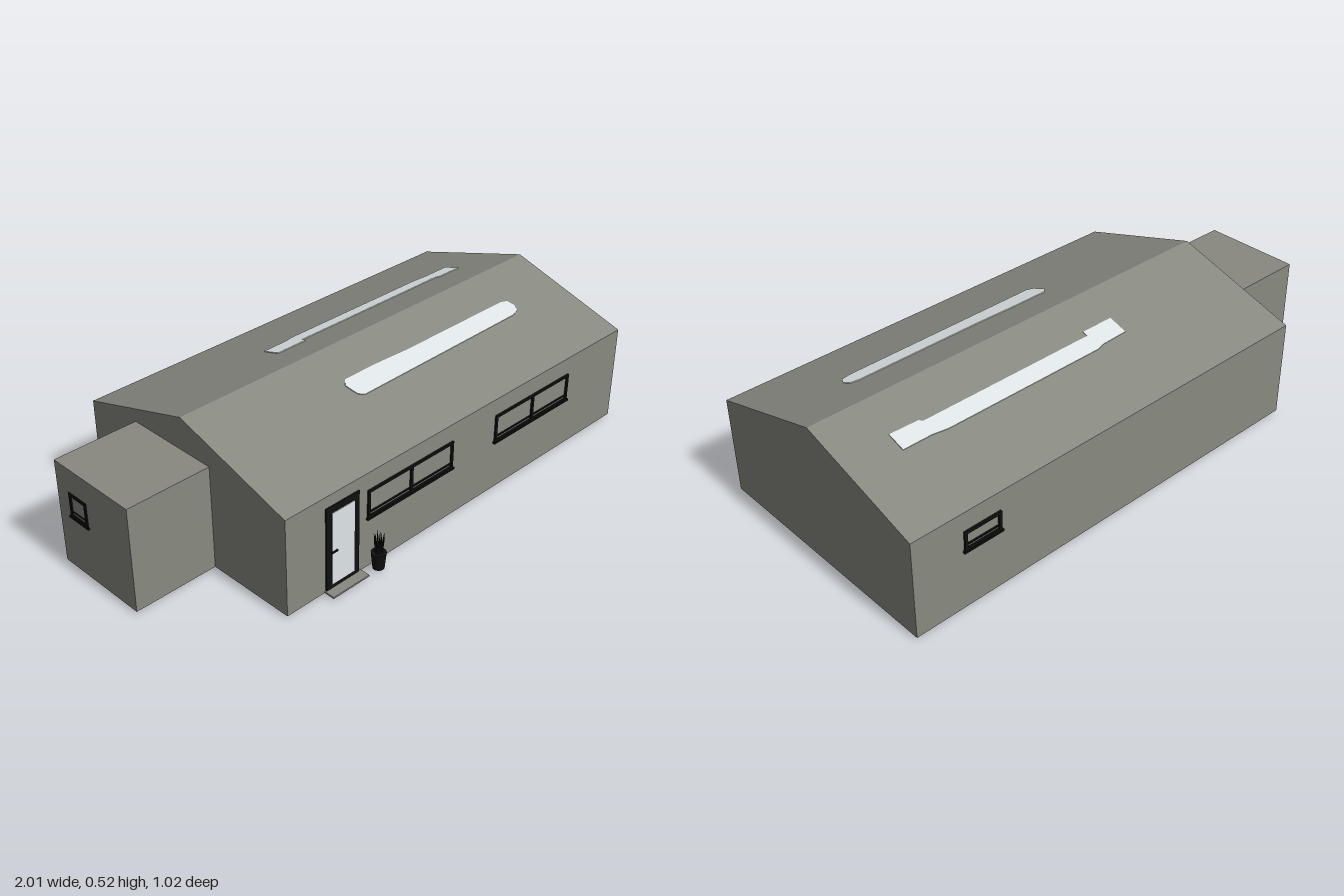
import * as THREE from 'three';

const mat = (name, color) => {
  const m = new THREE.MeshStandardMaterial({ color });
  m.name = name;
  return m;
};

export function createModel() {
  const house = new THREE.Group();
  house.name = 'house';
  const wall = mat('wall grey', 0x888980);
  const black = mat('black', 0x101010);
  const white = mat('pale glass', 0xe4eaed);

  const add = (parent, name, geo, material) => {
    const m = new THREE.Mesh(geo, material);
    m.name = name;
    parent.add(m);
    return m;
  };
  // Box given by its minimum and maximum corners
  const box = (parent, name, material, x0, x1, y0, y1, z0, z1) => {
    const m = add(parent, name, new THREE.BoxGeometry(x1 - x0, y1 - y0, z1 - z0), material);
    m.position.set((x0 + x1) / 2, (y0 + y1) / 2, (z0 + z1) / 2);
    return m;
  };
  const polygon = (pts) => new THREE.Shape(pts.map(([x, y]) => new THREE.Vector2(x, y)));

  const X0 = -0.68, X1 = 1, Z0 = -0.5, Z1 = 0.455;
  const BASE = 0.008, FLOOR = 0.026, EAVE = 0.375, RIDGE = 0.522, RZ = -0.022;

  // Main hall: gable profile swept along x
  const gable = polygon([[-Z1, FLOOR], [-Z0, FLOOR], [-Z0, EAVE], [-RZ, RIDGE], [-Z1, EAVE]]);
  const hall = add(house, 'mainHall',
    new THREE.ExtrudeGeometry(gable, { depth: X1 - X0, bevelEnabled: false }), wall);
  hall.rotation.y = Math.PI / 2;
  hall.position.x = X0;

  // Side annex
  box(house, 'annex', wall, -0.998, X0, FLOOR, 0.4, -0.262, 0.11);

  // Wall feet reaching below the recessed floors
  const feet = new THREE.Group();
  feet.name = 'wallFeet';
  house.add(feet);
  const t = 0.012;
  const rim = (x0, x1, z0, z1) => {
    box(feet, 'footBack', wall, x0, x1, BASE, FLOOR, z0, z0 + t);
    box(feet, 'footFront', wall, x0, x1, BASE, FLOOR, z1 - t, z1);
    box(feet, 'footRight', wall, x0, x0 + t, BASE, FLOOR, z0 + t, z1 - t);
    box(feet, 'footLeft', wall, x1 - t, x1, BASE, FLOOR, z0 + t, z1 - t);
  };
  rim(X0, X1, Z0, Z1);
  rim(-0.998, X0, -0.262, 0.11);
  box(feet, 'entryPartitionSide', wall, -0.38, -0.37, BASE, FLOOR, 0.11, Z1 - t);
  box(feet, 'entryPartitionBack', wall, X0 + t, -0.38, BASE, FLOOR, 0.11, 0.12);

  // Dark patches under the floors: centre x, centre z, length, depth
  const patches = [
    [0.72, -0.42, 0.2, 0.1], [0.53, -0.42, 0.1, 0.1], [0.33, -0.37, 0.09, 0.06],
    [0.85, -0.1, 0.05, 0.05], [0.62, -0.13, 0.08, 0.07], [0.44, -0.04, 0.2, 0.07],
    [0.5, 0.41, 0.5, 0.05], [-0.07, 0.42, 0.2, 0.04], [-0.5, 0.23, 0.15, 0.12],
    [-0.59, -0.37, 0.15, 0.2], [-0.46, -0.3, 0.06, 0.08], [0.94, 0.36, 0.08, 0.12],
    [-0.9, -0.16, 0.15, 0.14], [-0.8, 0.05, 0.12, 0.06], [0.04, 0.11, 0.03, 0.02],
  ];
  for (const [x, z, l, d] of patches) {
    box(house, 'floorPatch', black, x - l / 2, x + l / 2, FLOOR - 0.004, FLOOR + 0.002, z - d / 2, z + d / 2);
  }
  // Two small rods below the floor
  for (const z of [0.08, 0.12]) {
    const rod = add(house, 'floorRod', new THREE.CylinderGeometry(0.011, 0.011, 0.075, 12), black);
    rod.rotation.z = Math.PI / 2;
    rod.position.set(-0.175, 0.011, z);
  }

  // Pale strips on the roof slopes, drawn in slope coordinates from the ridge
  const slope = Math.atan2(RIDGE - EAVE, Z1 - RZ);
  const strip = (name, shape, back) => {
    const g = new THREE.Group();
    g.name = name;
    g.position.set(0, RIDGE, RZ);
    g.rotation.y = back ? Math.PI : 0;
    const m = add(g, name + 'Plate',
      new THREE.ExtrudeGeometry(shape, { depth: 0.003, bevelEnabled: false, curveSegments: 8 }), white);
    m.rotation.x = slope - Math.PI / 2;
    house.add(g);
  };
  strip('frontRoofStrip', polygon([
    [-0.11, -0.225], [-0.09, -0.24], [0.69, -0.232], [0.725, -0.222], [0.738, -0.195],
    [0.73, -0.166], [0.7, -0.158], [0.2, -0.158], [0.05, -0.152], [-0.1, -0.152], [-0.12, -0.175],
  ]), false);
  strip('backRoofStrip', polygon([
    [-0.81, -0.152], [-0.7, -0.155], [-0.69, -0.165], [0.01, -0.165], [0.01, -0.144],
    [0.14, -0.144], [0.14, -0.219], [0.03, -0.222], [0, -0.23], [-0.64, -0.23], [-0.7, -0.222], [-0.81, -0.222],
  ]), true);

  // Framed window, facing +z before it is turned
  const windowUnit = (name, w, h, f, mullion, x, y, z, turn) => {
    const g = new THREE.Group();
    g.name = name;
    const d = 0.007;
    for (const s of [-1, 1]) {
      box(g, 'frameSide', black, s * (w - f) / 2 - f / 2, s * (w - f) / 2 + f / 2, 0, h, -0.003, d);
    }
    box(g, 'frameTop', black, -w / 2, w / 2, h - f, h, -0.003, d);
    box(g, 'frameBottom', black, -w / 2, w / 2, 0, f, -0.003, d);
    box(g, 'lowerRail', black, -w / 2, w / 2, f + 0.009, f + 0.014, -0.003, d - 0.002);
    box(g, 'sill', black, -w / 2 - 0.005, w / 2 + 0.005, -0.004, 0.003, -0.003, d + 0.003);
    if (mullion) box(g, 'mullion', black, -0.005, 0.005, 0, h, -0.003, d);
    g.position.set(x, y, z);
    g.rotation.y = turn;
    house.add(g);
  };
  windowUnit('frontWindowRight', 0.405, 0.107, 0.009, true, -0.128, 0.203, Z1, 0);
  windowUnit('frontWindowLeft', 0.405, 0.107, 0.009, true, 0.498, 0.203, Z1, 0);
  windowUnit('backWindow', 0.145, 0.075, 0.011, false, 0.735, 0.231, Z0, Math.PI);
  windowUnit('annexWindow', 0.09, 0.092, 0.011, false, -0.995, 0.217, -0.152, -Math.PI / 2);

  // Front door with pale pane, handle and step
  const door = new THREE.Group();
  door.name = 'frontDoor';
  house.add(door);
  box(door, 'doorFrame', black, -0.515, -0.37, 0.012, 0.332, Z1 - 0.002, Z1 + 0.005);
  box(door, 'doorPane', white, -0.491, -0.393, 0.03, 0.307, Z1 + 0.004, Z1 + 0.007);
  box(door, 'doorHandle', black, -0.494, -0.47, 0.154, 0.16, Z1 + 0.006, Z1 + 0.011);
  box(house, 'doorStep', wall, -0.52, -0.36, BASE, 0.014, Z1, 0.497);

  // Potted plant with spiky leaves
  const plant = new THREE.Group();
  plant.name = 'pottedPlant';
  plant.position.set(-0.305, 0.008, 0.485);
  house.add(plant);
  const pot = add(plant, 'pot', new THREE.CylinderGeometry(0.026, 0.02, 0.062, 16), black);
  pot.position.y = 0.031;
  const leaves = 11;
  for (let i = 0; i < leaves; i++) {
    const len = 0.065 + 0.03 * ((i * 7) % leaves) / leaves;
    const leaf = add(plant, 'leaf', new THREE.ConeGeometry(0.006, len, 5).translate(0, len / 2, 0), black);
    const a = i * Math.PI * 2 / leaves;
    leaf.position.set(Math.cos(a) * 0.008, 0.06, Math.sin(a) * 0.008);
    leaf.rotation.set(0, -a, -0.07 - 0.05 * (i % 3), 'YXZ');
  }
  return house;
}
